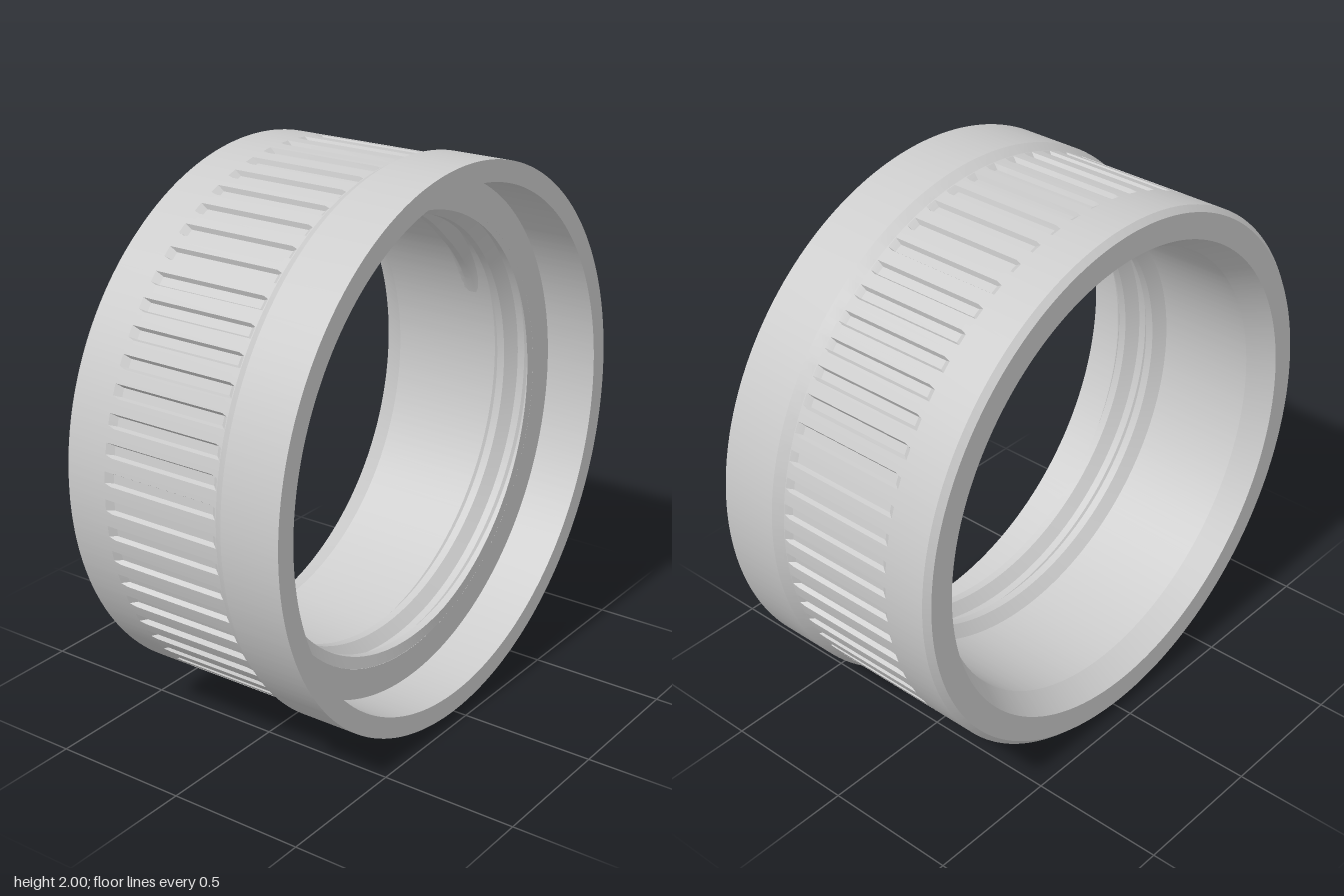
import * as THREE from 'three';
import { toCreasedNormals } from 'three/addons/utils/BufferGeometryUtils.js';

const GROOVES = 64;
const STEP = (Math.PI * 2) / GROOVES;
const FACE = 0.25;   // axial position of the shoulder inside the collar
const BORE = 0.815;  // radius of the bore

// point at axial position x, radius r, angle t around the x axis
const polar = (x, r, t) => [x, r * Math.cos(t), r * Math.sin(t)];

// surface through rows of equally many points
function surface(rows) {
  const n = rows[0].length, index = [];
  for (let i = 0; i < rows.length - 1; i++) {
    for (let j = 0; j < n - 1; j++) {
      const a = i * n + j, b = a + 1, c = b + n, d = a + n;
      index.push(a, b, c, a, c, d);
    }
  }
  const g = new THREE.BufferGeometry();
  g.setAttribute('position', new THREE.Float32BufferAttribute(rows.flat(2), 3));
  g.setIndex(index);
  return toCreasedNormals(g, 0.35);
}

// turned ring body; the third value is the depth of the grip grooves
function ringGeometry() {
  const profile = [
    [-0.448, 0.96, 0], [-0.428, 0.98, 0], [-0.27, 0.98, 0],
    [-0.245, 0.98, 0.016], [0.165, 0.98, 0.016], [0.187, 0.98, 0],
    [0.19, 0.98, 0], [0.225, 1, 0], [0.448, 1, 0],          // collar
    [0.448, 0.925, 0], [FACE, 0.925, 0], [FACE, BORE, 0],   // counterbore
    [-0.355, BORE, 0], [-0.448, 0.868, 0], [-0.448, 0.96, 0], // bore and flared rim
  ];
  // angles within one groove pitch: edge, floor, floor, edge, land
  const parts = [[0, 0], [0.008, 1], [0.04, 1], [0.048, 0], [0.073, 0]];
  const columns = [];
  for (let k = 0; k < GROOVES; k++) {
    for (const [t, cut] of parts) columns.push([k * STEP + t, cut]);
  }
  columns.push([0, 0]);
  return surface(profile.map(([x, r, depth]) =>
    columns.map(([t, cut]) => polar(x, r - depth * cut, t))));
}

// helical ridge, fading in at its start and cut off flush at the shoulder
function threadGeometry() {
  const pitch = 0.13, face = FACE - 0.0002, base = BORE + 0.005, height = 0.045;
  const flush = Math.PI * 1.1; // angle where the crest reaches the shoulder
  const start = flush - Math.PI * 3.5, stop = flush + Math.PI * 1.1;
  const steps = 300, rows = [];
  for (let i = 0; i <= steps; i++) {
    const t = start + (stop - start) * i / steps;
    const x = FACE - 0.015 + pitch * (t - flush) / (Math.PI * 2);
    const fade = Math.min(1, (t - start) / 0.5);
    const left = x - 0.055, crest = x - 0.015;
    const clip = crest > face ? Math.max(0, (face - left) / 0.04) : 1;
    const r = base - height * fade * clip;
    rows.push([[left, base], [crest, r], [x + 0.015, r], [x + 0.055, base]]
      .map(([px, pr]) => polar(Math.min(px, face), pr, t)));
  }
  return surface(rows);
}

export function createModel() {
  const material = new THREE.MeshStandardMaterial({ color: 0xcccccc });
  const model = new THREE.Group();
  model.name = 'threadedRing';
  const add = (name, geometry) => {
    const mesh = new THREE.Mesh(geometry, material);
    mesh.name = name;
    mesh.position.y = 1;
    model.add(mesh);
  };
  add('groovedRing', ringGeometry());
  add('innerThread', threadGeometry());
  return model;
}
